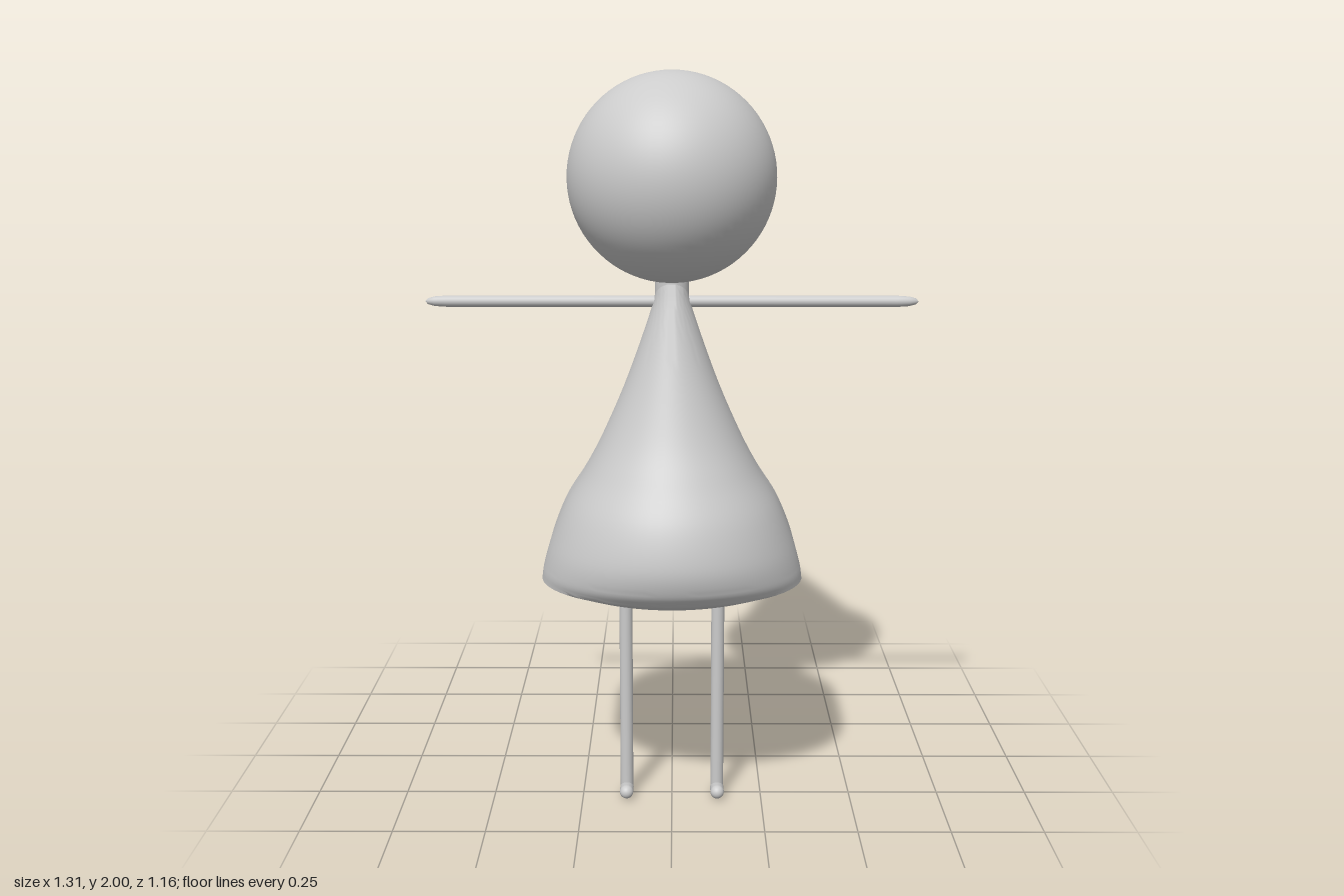
import * as THREE from 'three';
import { toCreasedNormals } from 'three/addons/utils/BufferGeometryUtils.js';

const Z = 0.255; // depth of the head, arms and legs

// Rows: height, half width, front z, back z, centre z of the rear half
const UPPER = [
  [1.45, 0.04, 0.3, 0.21, 0.255],
  [1.38, 0.055, 0.322, 0.188, 0.255],
  [1.2, 0.118, 0.385, 0.122, 0.25],
  [1.05, 0.182, 0.445, 0.06, 0.24],
  [0.95, 0.232, 0.5, -0.01, 0.21],
  [0.85, 0.29, 0.557, -0.115, 0.15],
  [0.75, 0.33, 0.582, -0.215, 0.08],
  [0.68, 0.35, 0.57, -0.285, 0.035],
  [0.642, 0.356, 0.54, -0.325, 0.02],
];
const LOWER = [
  [0.642, 0.356, 0.54, -0.325, 0.02],
  [0.615, 0.265, 0.48, -0.23, 0.06],
  [0.59, 0.16, 0.385, -0.12, 0.1],
  [0.573, 0.08, 0.27, -0.02, 0.12],
  [0.567, 0.002, 0.121, 0.119, 0.12],
];

// Smoothly resamples the rows of a section table
function resample(rows, count) {
  const spline = (f) => new THREE.CatmullRomCurve3(
    rows.map((r) => new THREE.Vector3(...f(r))), false, 'catmullrom', 0.5);
  const a = spline((r) => [r[0], r[1], r[4]]);
  const b = spline((r) => [r[2], r[3], 0]);
  return Array.from({ length: count + 1 }, (_, i) => {
    const p = a.getPoint(i / count), q = b.getPoint(i / count);
    return { y: p.y === undefined ? 0 : p.x, w: p.y, rear: p.z, front: q.x, back: q.y };
  });
}

// Dress: rounded cross-sections, with the rear half drawn out into a tail
function dressGeometry() {
  const rings = [...resample(UPPER, 48), ...resample(LOWER, 20).slice(1)];
  const half = 32, n = 2 * (half + 1);
  const pos = [], index = [];
  rings.forEach((r) => {
    const mid = Math.max(r.rear, Math.min(Z, (r.front + r.rear) / 2 + 0.07));
    for (let j = 0; j < n; j++) {
      const isFront = j <= half;
      const t = Math.PI * (isFront ? j : j - 1) / half;
      const c = isFront ? mid : r.rear;
      const reach = isFront ? r.front - c : c - r.back;
      pos.push(r.w * Math.cos(t), r.y, c + reach * Math.sin(t));
    }
  });
  for (let i = 0; i < rings.length - 1; i++) {
    for (let j = 0; j < n; j++) {
      const a = i * n + j, b = i * n + (j + 1) % n;
      index.push(a, b, a + n, b, b + n, a + n);
    }
  }
  const g = new THREE.BufferGeometry();
  g.setAttribute('position', new THREE.Float32BufferAttribute(pos, 3));
  g.setIndex(index);
  return toCreasedNormals(g, 0.9);
}

export function createModel() {
  const model = new THREE.Group();
  const material = new THREE.MeshStandardMaterial({ color: 0xcccccc });
  const add = (name, geometry, x, y, z) => {
    const mesh = new THREE.Mesh(geometry, material);
    mesh.name = name;
    mesh.position.set(x, y, z);
    model.add(mesh);
    return mesh;
  };

  const dress = add('dress', dressGeometry(), 0, 0, 0);
  dress.material = material.clone();
  dress.material.side = THREE.DoubleSide;

  add('head', new THREE.SphereGeometry(0.275, 64, 40), 0, 1.725, Z);
  add('neck', new THREE.CylinderGeometry(0.045, 0.045, 0.06, 32), 0, 1.445, Z);

  // Cone behind the head with a rounded tip
  const cone = [[0.215, -0.08], [0.185, 0.05], [0.033, 0.595], [0.028, 0.615], [0.018, 0.627], [0, 0.632]];
  const ponytail = add('ponytail', toCreasedNormals(
    new THREE.LatheGeometry(cone.map(([r, h]) => new THREE.Vector2(r, h)), 48), 0.9), 0, 1.723, 0.05);
  ponytail.rotation.x = -Math.PI / 2;
  // Lathe heights run from z = 0.05 backwards
  ponytail.position.z = 0.05;

  // Thin limbs, mirrored
  const armProfile = [[0.015, 0], [0.015, 0.6], [0.013, 0.63], [0.008, 0.648], [0, 0.655]]
    .map(([r, h]) => new THREE.Vector2(r, h));
  for (const [side, s] of [['left', 1], ['right', -1]]) {
    const arm = add(side + 'Arm', new THREE.LatheGeometry(armProfile, 20), 0, 1.4, Z);
    arm.rotation.z = -s * Math.PI / 2;

    add(side + 'Leg', new THREE.CylinderGeometry(0.018, 0.018, 0.6, 20), s * 0.127, 0.32, Z + 0.002);
    const foot = add(side + 'Foot', new THREE.CapsuleGeometry(0.019, 0.042, 8, 20), s * 0.127, 0.022, 0.28);
    foot.rotation.x = Math.PI / 2 - 0.12;
  }
  return model;
}
